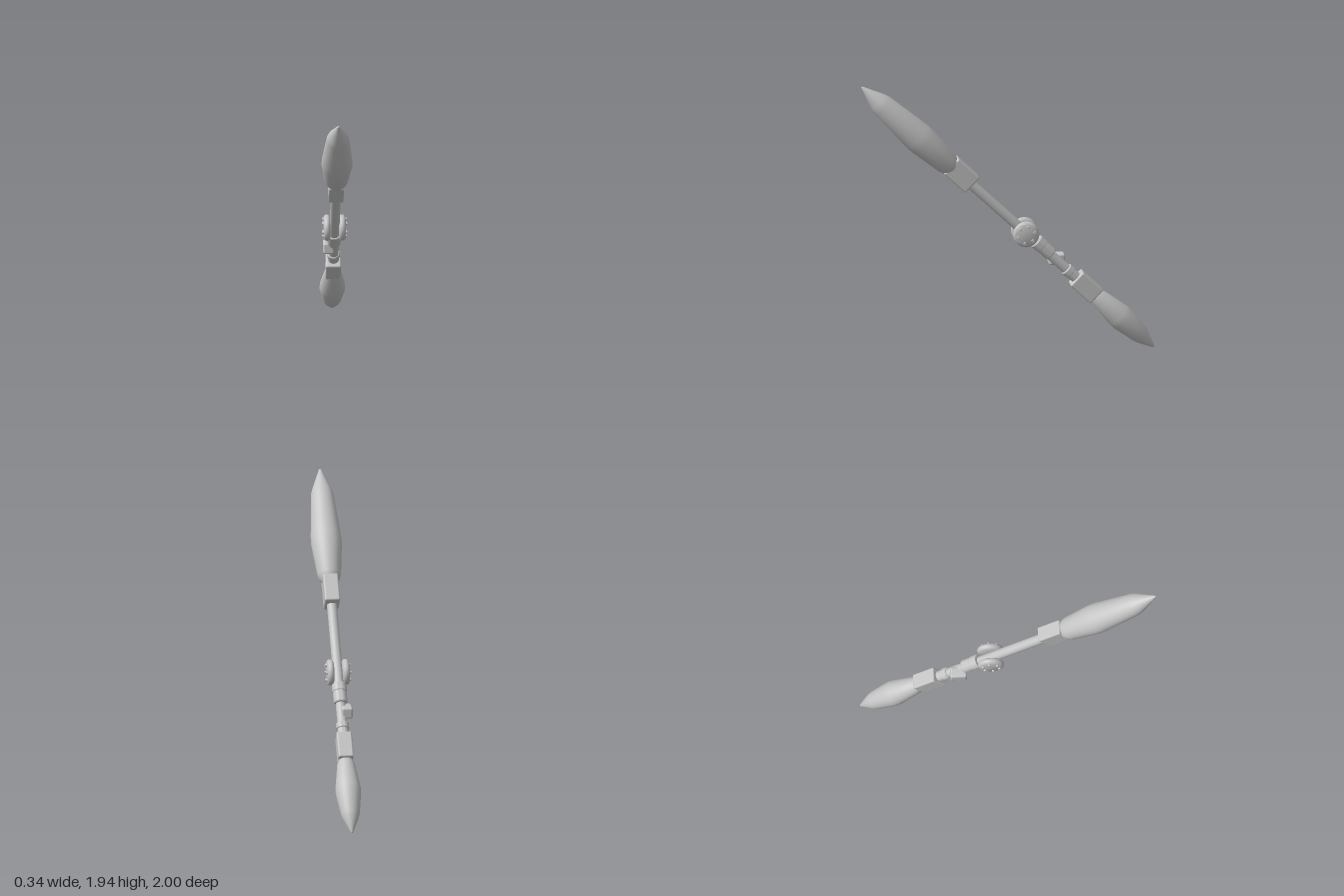
import * as THREE from 'three';
import { toCreasedNormals } from 'three/addons/utils/BufferGeometryUtils.js';
import { RoundedBoxGeometry } from 'three/addons/geometries/RoundedBoxGeometry.js';

export function createModel() {
  const metal = new THREE.MeshStandardMaterial({ color: 0xc4c4c4 });
  metal.name = 'grey metal';

  // The staff is built upright along local y, then yawed and pitched
  const model = new THREE.Group();
  model.name = 'doubleBladedStaff';
  const staff = new THREE.Group();
  staff.name = 'staff';
  staff.rotation.set(0.803, 0.1046, 0, 'YXZ');
  staff.position.set(-0.005, 0.97, 0);
  model.add(staff);

  const add = (name, geometry, parent = staff) => {
    const mesh = new THREE.Mesh(geometry, metal);
    mesh.name = name;
    parent.add(mesh);
    return mesh;
  };
  // Turned part from [radius, height] pairs, bottom to top
  const turned = (name, profile, crease, parent) => {
    const points = profile.map(([r, y]) => new THREE.Vector2(r, y));
    const g = new THREE.LatheGeometry(points, 32);
    return add(name, crease ? toCreasedNormals(g, crease) : g, parent);
  };
  const box = (name, size, position, radius = 0.012) => {
    const mesh = add(name, new RoundedBoxGeometry(...size, 3, radius));
    mesh.position.set(...position);
    return mesh;
  };

  // Blades
  turned('upperBlade', [[0, 0.52], [0.05, 0.525], [0.07, 0.55], [0.081, 0.585],
    [0.105, 0.82], [0.104, 0.87], [0.077, 1.2], [0.066, 1.24], [0.008, 1.39], [0, 1.397]], 0.5);
  turned('lowerBlade', [[0, -1.397], [0.008, -1.39], [0.054, -1.285], [0.064, -1.25],
    [0.087, -1.09], [0.086, -1.05], [0.06, -0.87], [0.045, -0.83], [0, -0.825]], 0.5);

  // Blade sockets
  box('upperSocket', [0.104, 0.205, 0.146], [0, 0.454, -0.006]);
  box('lowerSocket', [0.104, 0.195, 0.128], [0, -0.743, 0]);

  // Shaft
  const shaft = add('shaft', new THREE.CylinderGeometry(0.034, 0.034, 1.06, 32));
  shaft.position.y = -0.14;

  // Collars
  turned('upperCollar', [[0, -0.405], [0.042, -0.405], [0.047, -0.398], [0.047, -0.32],
    [0.051, -0.316], [0.051, -0.267], [0.046, -0.26], [0, -0.26]], 0.6).position.z = -0.006;
  turned('lowerCollar', [[0, -0.655], [0.038, -0.655], [0.038, -0.6], [0.044, -0.595],
    [0.044, -0.56], [0.038, -0.553], [0, -0.553]], 0.6);

  // Side latch, level with the ground
  const latch = box('latch', [0.075, 0.078, 0.112], [-0.036, -0.465, -0.004], 0.014);
  latch.rotation.x = -0.803;

  // Bolted discs on both sides of the hub
  for (const side of [-1, 1]) {
    const disc = new THREE.Group();
    disc.name = side > 0 ? 'leftDisc' : 'rightDisc';
    disc.position.y = -0.163;
    disc.rotation.z = -side * Math.PI / 2;
    staff.add(disc);
    turned('discBody', [[0, 0.03], [0.072, 0.03], [0.085, 0.037], [0.09, 0.047],
      [0.089, 0.06], [0.081, 0.071], [0.072, 0.075], [0, 0.075]], 0.7, disc);
    for (let i = 0; i < 6; i++) {
      const a = i * Math.PI / 3;
      const bolt = add('bolt', new THREE.CylinderGeometry(0.009, 0.011, 0.014, 12), disc);
      bolt.position.set(0.058 * Math.cos(a), 0.078, 0.058 * Math.sin(a));
    }
  }
  return model;
}
